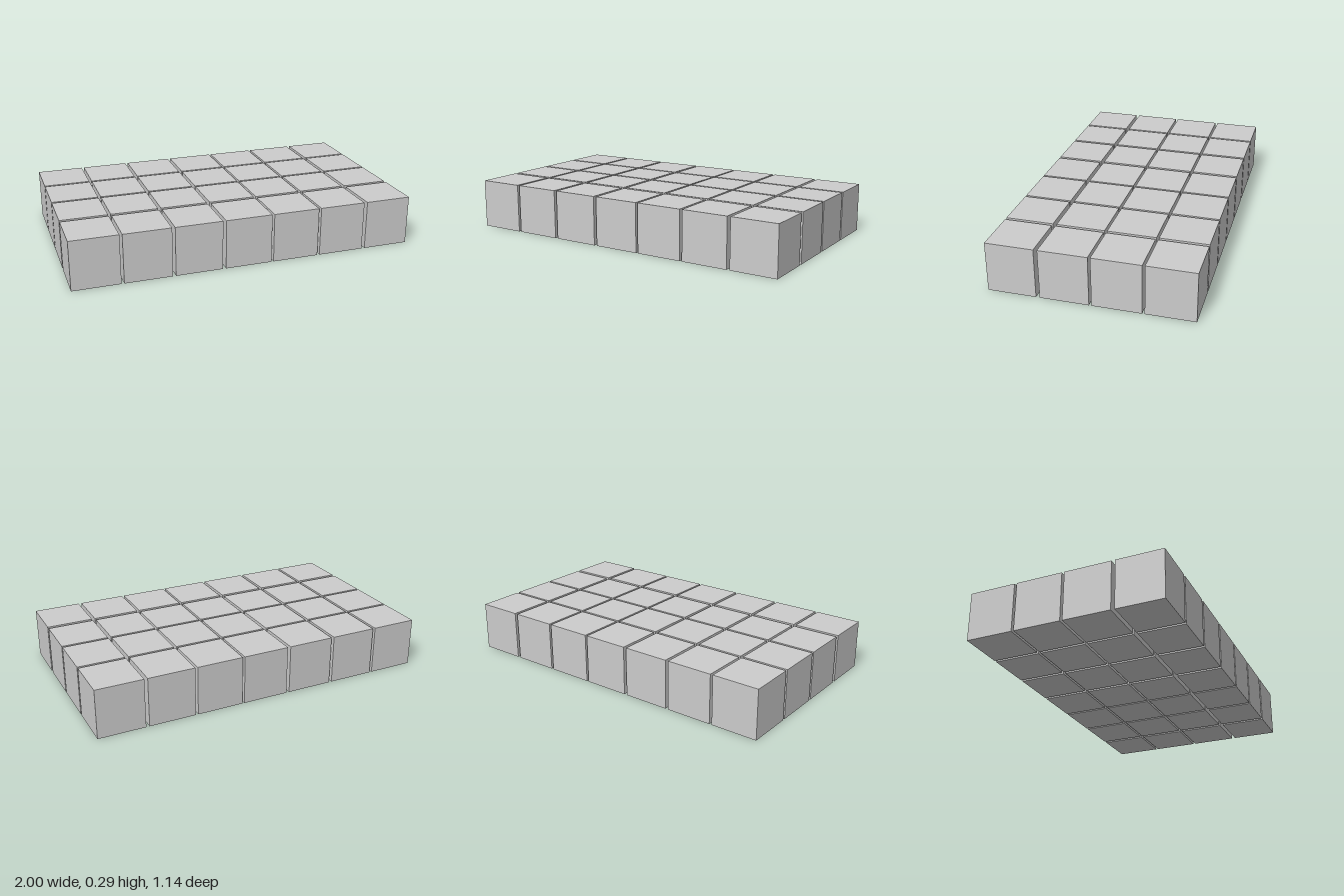
import * as THREE from 'three';

// Slab of separate blocks, laid out in columns (x) and rows (z) with narrow gaps
const COLUMNS = [-0.864, -0.577, -0.288, 0.002, 0.287, 0.573, 0.864];
const ROWS = [-0.434, -0.147, 0.14, 0.434];
const WIDTH = 0.272, HEIGHT = 0.288, DEPTH = 0.273;

export function createModel() {
  const model = new THREE.Group();
  model.name = 'blockGrid';
  const material = new THREE.MeshStandardMaterial({ color: 0xcccccc, flatShading: true });
  const geometry = new THREE.BoxGeometry(WIDTH, HEIGHT, DEPTH);

  ROWS.forEach((z, r) => {
    const row = new THREE.Group();
    row.name = `blockRow${r + 1}`;
    COLUMNS.forEach((x, c) => {
      const block = new THREE.Mesh(geometry, material);
      block.name = `block${r + 1}_${c + 1}`;
      block.position.set(x, HEIGHT / 2, z);
      row.add(block);
    });
    model.add(row);
  });
  return model;
}
